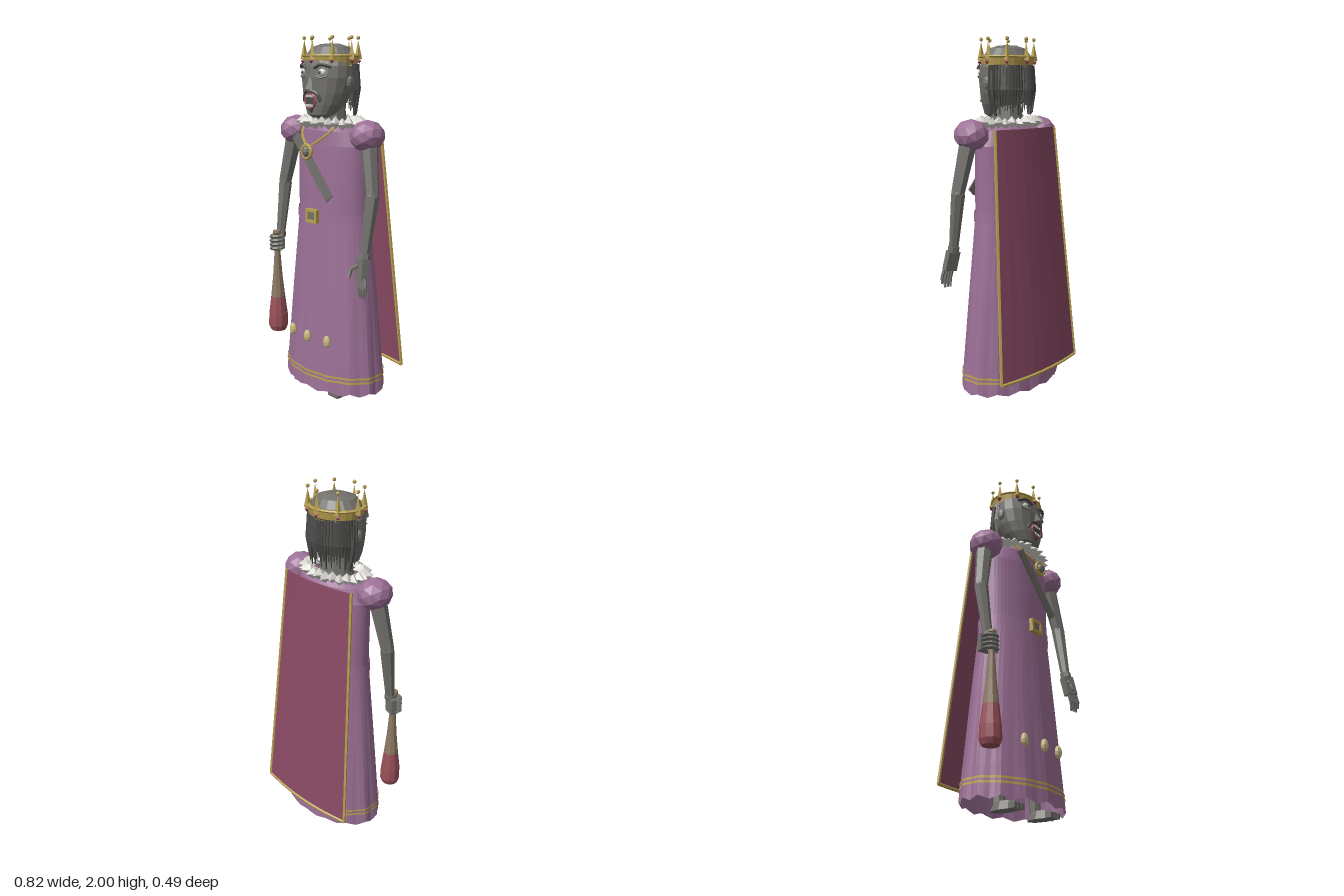
import * as THREE from 'three';

const mat = (name, color) => new THREE.MeshStandardMaterial({ name, color, flatShading: true, side: THREE.DoubleSide });

export function createModel() {
  const root = new THREE.Group();
  const robeMat = mat('mauve', 0x9c7096), capeMat = mat('burgundy', 0x8a4a64), gold = mat('gold', 0xb8a050);
  const skin = mat('stoneGrey', 0x72716c), hairMat = mat('darkGrey', 0x4c4b49), white = mat('offWhite', 0xd2d0ca);
  const wood = mat('wood', 0x8c7862), red = mat('dullRed', 0x985058), pale = mat('paleGold', 0xc8b880), gem = mat('ruby', 0x983c5c);
  const V = (x, y, z) => new THREE.Vector3(x, y, z);

  function add(name, geo, m, x = 0, y = 0, z = 0, parent = root) {
    const mesh = new THREE.Mesh(geo, m);
    mesh.name = name;
    mesh.position.set(x, y, z);
    parent.add(mesh);
    return mesh;
  }
  // tapered rod from a to b
  function rod(name, a, b, ra, rb, m, sides = 7, parent = root) {
    const d = b.clone().sub(a);
    const mesh = add(name, new THREE.CylinderGeometry(rb, ra, d.length(), sides), m, 0, 0, 0, parent);
    mesh.position.copy(a).addScaledVector(d, 0.5);
    mesh.quaternion.setFromUnitVectors(V(0, 1, 0), d.normalize());
    return mesh;
  }
  const tube = (name, pts, r, m, parent = root, n = 10) =>
    add(name, new THREE.TubeGeometry(new THREE.CatmullRomCurve3(pts), n, r, 5), m, 0, 0, 0, parent);

  // skin of elliptical rings [y, rx, rz, cz], listed from bottom to top
  function loft(rings, n, pleat = () => 0, wave = () => 0, closed = false) {
    const pos = [], idx = [];
    rings.forEach(([y, rx, rz, cz], i) => {
      for (let j = 0; j < n; j++) {
        const a = j / n * Math.PI * 2, k = 1 + pleat(a, y);
        pos.push(rx * k * Math.sin(a), y + (i === 0 ? wave(a) : 0), cz + rz * k * Math.cos(a));
        if (i < rings.length - 1) {
          const p = i * n + j, q = i * n + (j + 1) % n;
          idx.push(p, q, q + n, p, q + n, p + n);
        }
      }
    });
    if (closed) {
      const c = pos.length / 3, top = (rings.length - 1) * n;
      const [lo, hi] = [rings[0], rings[rings.length - 1]];
      pos.push(0, lo[0], lo[3], 0, hi[0], hi[3]);
      for (let j = 0; j < n; j++) {
        const k = (j + 1) % n;
        idx.push(c, k, j, c + 1, top + j, top + k);
      }
    }
    const g = new THREE.BufferGeometry();
    g.setAttribute('position', new THREE.Float32BufferAttribute(pos, 3));
    g.setIndex(idx);
    g.computeVertexNormals();
    return g;
  }

  // pleated robe, open at the hem
  const robe = [[0.04, 0.342, 0.215, 0.015], [0.2, 0.328, 0.205, 0.015], [0.6, 0.292, 0.178, 0.015], [1.03, 0.247, 0.147, 0.016],
    [1.22, 0.247, 0.143, 0.018], [1.42, 0.25, 0.135, 0.02], [1.5, 0.22, 0.125, 0.025], [1.54, 0.12, 0.1, 0.03]];
  const pleat = (a, y) => 0.018 * Math.max(0, 1 - y) * Math.cos(14 * a);
  add('robe', loft(robe, 56, pleat, a => 0.01 * Math.cos(14 * a)), robeMat);
  function robeBand(name, y0, y1, grow, m) {
    const at = y => {
      const i = robe.findIndex(r => r[0] > y), a = robe[i - 1], b = robe[i], t = (y - a[0]) / (b[0] - a[0]);
      const r = a.map((v, k) => v + (b[k] - v) * t);
      return [y, r[1] + grow, r[2] + grow, r[3]];
    };
    add(name, loft([at(y0), at(y1)], 56, pleat), m);
  }
  robeBand('lowerHemStripe', 0.108, 0.12, 0.005, gold);
  robeBand('upperHemStripe', 0.132, 0.144, 0.005, gold);
  robeBand('belt', 1.0, 1.055, 0.006, robeMat);

  // belt buckle
  for (const s of [-1, 1]) {
    add('buckleSide', new THREE.BoxGeometry(0.016, 0.075, 0.024), gold, -0.005 + s * 0.036, 1.03, 0.178);
    add('buckleBar', new THREE.BoxGeometry(0.088, 0.016, 0.024), gold, -0.005, 1.03 + s * 0.03, 0.178);
  }
  add('bucklePlate', new THREE.BoxGeometry(0.06, 0.046, 0.014), skin, -0.005, 1.03, 0.176);

  // medallions near the hem
  for (const [x, z] of [[-0.15, 0.205], [-0.005, 0.222], [0.14, 0.205]])
    add('hemMedallion', new THREE.SphereGeometry(1, 8, 6), pale, x, 0.34, z).scale.set(0.025, 0.036, 0.017);

  // sash across the chest
  const sash = add('sash', new THREE.BoxGeometry(0.058, 0.43, 0.009), skin, 0.002, 1.305, 0.182);
  sash.rotation.set(-0.03, 0, 0.72);

  // pendant and its cord
  for (const s of [-1, 1])
    tube('pendantCord', [V(s * 0.13, 1.53, 0.12), V(s * 0.09, 1.475, 0.17), V(s * 0.025, 1.425, 0.205)], 0.007, gold);
  add('pendantRing', new THREE.TorusGeometry(0.036, 0.01, 6, 14), gold, -0.005, 1.39, 0.215);
  add('pendantStone', new THREE.SphereGeometry(1, 8, 6), skin, -0.005, 1.39, 0.217).scale.set(0.028, 0.03, 0.022);

  // cape with gold trim
  const capeAt = (u, t) => V(u * (0.25 + 0.08 * t), 1.51 - 1.365 * t,
    -0.125 - 0.115 * t + (0.03 + 0.002 * t) * u * u);
  const cape = new THREE.PlaneGeometry(2, 1, 8, 1), cp = cape.attributes.position;
  for (let i = 0; i < cp.count; i++) {
    const p = capeAt(cp.getX(i), 0.5 - cp.getY(i));
    cp.setXYZ(i, p.x, p.y, p.z);
  }
  cape.computeVertexNormals();
  add('cape', cape, capeMat);
  for (const s of [-1, 1]) rod('capeSideTrim', capeAt(s, 0), capeAt(s, 1), 0.009, 0.009, gold, 5);
  tube('capeBottomTrim', [-1, -0.5, 0, 0.5, 1].map(u => capeAt(u, 1)), 0.009, gold);

  // neck and faceted ruff
  add('neck', new THREE.CylinderGeometry(0.08, 0.1, 0.14, 10), skin, 0, 1.565, 0.045);
  for (let i = 0; i < 26; i++) {
    const a = i / 26 * Math.PI * 2;
    const fold = add('ruffFold', new THREE.OctahedronGeometry(1, 0), white,
      0.188 * Math.sin(a), 1.542 + (i % 2 ? 0.004 : -0.004), 0.035 + 0.118 * Math.cos(a));
    fold.scale.set(0.032, 0.034, 0.048);
    fold.rotation.y = a;
  }

  // head
  add('head', loft([[1.568, 0.05, 0.045, 0.11], [1.585, 0.082, 0.072, 0.11], [1.64, 0.118, 0.105, 0.083], [1.7, 0.143, 0.125, 0.065],
    [1.78, 0.16, 0.14, 0.053], [1.84, 0.16, 0.138, 0.048], [1.9, 0.142, 0.125, 0.042], [1.94, 0.11, 0.098, 0.04],
    [1.957, 0.055, 0.05, 0.04]], 18, undefined, undefined, true), skin);
  const nose = add('nose', new THREE.ConeGeometry(0.026, 0.1, 4), skin, 0, 1.765, 0.19);
  nose.rotation.x = -0.2;
  for (const s of [-1, 1]) {
    add('eye', new THREE.SphereGeometry(1, 10, 8), white, s * 0.07, 1.808, 0.167).scale.set(0.027, 0.02, 0.018);
    add('pupil', new THREE.SphereGeometry(0.009, 6, 5), hairMat, s * 0.068, 1.808, 0.181);
    tube('eyeBag', [V(s * 0.04, 1.79, 0.185), V(s * 0.07, 1.78, 0.182), V(s * 0.105, 1.79, 0.162)], 0.005, skin);
    tube('eyebrow', [V(s * 0.03, 1.83, 0.187), V(s * 0.075, 1.848, 0.18), V(s * 0.12, 1.835, 0.148)], 0.009, hairMat);
    tube('moustache', [V(s * 0.006, 1.712, 0.196), V(s * 0.045, 1.7, 0.187), V(s * 0.068, 1.655, 0.174)], 0.009, hairMat);
    add('ear', new THREE.SphereGeometry(1, 7, 6), skin, s * 0.16, 1.755, 0.05).scale.set(0.016, 0.036, 0.024);
    tube('sideLock', [V(s * 0.165, 1.82, 0.005), V(s * 0.168, 1.7, 0.0), V(s * 0.142, 1.58, 0.0)], 0.009, hairMat);
  }
  // open mouth with teeth and chin tuft
  add('mouth', new THREE.CylinderGeometry(0.036, 0.036, 0.012, 10), hairMat, 0, 1.66, 0.188).rotation.x = Math.PI / 2;
  add('lips', new THREE.TorusGeometry(0.04, 0.008, 5, 12), red, 0, 1.66, 0.19);
  for (let i = -2; i <= 2; i++)
    for (const s of [-1, 1])
      add('tooth', new THREE.BoxGeometry(0.01, 0.013, 0.008), white, i * 0.012, 1.66 + s * 0.025, 0.195);
  add('chinTuft', new THREE.ConeGeometry(0.02, 0.03, 5), hairMat, 0, 1.6, 0.178).rotation.x = Math.PI;

  // hanging hair around the back of the head
  for (let i = 0; i < 30; i++) {
    const a = (98 + i * 164 / 29) * Math.PI / 180, end = 1.585 + 0.03 * (1 + Math.sin(i * 2.7)) * (i % 3 ? 0.7 : 1.3);
    const at = (y, k) => V(0.158 * k * Math.sin(a), y, 0.045 + 0.137 * k * Math.cos(a));
    rod('hairStrand', at(1.85, 1), at(1.72, 1.06), 0.01, 0.011, hairMat, 4);
    rod('hairTip', at(1.72, 1.06), at(end, 0.98), 0.011, 0.003, hairMat, 4);
  }

  // crown: band, spikes, balls and stones
  add('crownBand', loft([[1.835, 0.152, 0.13, 0.04], [1.9, 0.165, 0.142, 0.038], [1.9, 0.148, 0.127, 0.038],
    [1.84, 0.146, 0.125, 0.04]], 24), gold);
  for (const y of [1.842, 1.895]) {
    const k = y > 1.87 ? 1.07 : 1;
    const rim = add('crownRim', new THREE.TorusGeometry(1, 0.045, 5, 24), gold, 0, y, 0.039);
    rim.rotation.x = Math.PI / 2;
    rim.scale.set(0.153 * k, 0.132 * k, 0.15);
  }
  for (let i = 0; i < 8; i++) {
    const a = i * Math.PI / 4, x = Math.sin(a), z = Math.cos(a);
    add('crownSpike', new THREE.ConeGeometry(0.021, 0.1, 4), gold, 0.158 * x, 1.927, 0.038 + 0.134 * z).rotation.y = a;
    add('crownBall', new THREE.SphereGeometry(0.0105, 7, 6), gold, 0.158 * x, 1.989, 0.038 + 0.134 * z);
    add('crownStone', new THREE.OctahedronGeometry(0.015, 0), gem, 0.164 * x, 1.868, 0.04 + 0.142 * z);
  }

  // arms, puffed shoulders, feet
  for (const s of [-1, 1]) {
    const side = s > 0 ? 'left' : 'right';
    add(side + 'ShoulderPuff', new THREE.IcosahedronGeometry(1, 1), robeMat, s * 0.285, 1.482, 0.045).scale.set(0.093, 0.085, 0.1);
    const elbow = V(s * 0.358, 1.17, 0.078), wrist = V(s * 0.352, 0.86, 0.125);
    rod(side + 'UpperArm', V(s * 0.305, 1.43, 0.05), elbow, 0.048, 0.037, skin);
    add(side + 'Elbow', new THREE.IcosahedronGeometry(0.037, 1), skin, elbow.x, elbow.y, elbow.z);
    rod(side + 'Forearm', elbow, wrist, 0.039, 0.026, skin);
    rod(side + 'Cuff', V(s * 0.352, 0.875, 0.122), V(s * 0.352, 0.845, 0.128), 0.032, 0.032, skin);

    rod(side + 'Leg', V(s * 0.15, 0.04, 0.04), V(s * 0.13, 0.4, 0.03), 0.03, 0.04, skin);
    const foot = add(side + 'Foot', new THREE.CylinderGeometry(0.035, 0.048, 0.045, 8), skin, s * 0.15, 0.0235, 0.075);
    foot.scale.z = 1.8;
    for (let i = -1; i <= 1; i++)
      add(side + 'Toe', new THREE.BoxGeometry(0.023, 0.028, 0.04), skin, s * 0.15 + i * 0.027, 0.015, 0.15);
  }

  // open left hand
  const palm = add('leftPalm', new THREE.BoxGeometry(0.07, 0.11, 0.04), skin, 0.35, 0.79, 0.145);
  palm.rotation.set(-0.15, -0.25, 0.12);
  for (let i = 0; i < 4; i++) {
    const x = 0.333 + i * 0.018, z = 0.153 + i * 0.003, drop = i === 3 ? 0.025 : 0;
    rod('leftFinger', V(x, 0.75, z), V(x + 0.013, 0.69 + drop / 2, z + 0.008), 0.011, 0.01, skin, 5);
    rod('leftFingertip', V(x + 0.013, 0.69 + drop / 2, z + 0.008), V(x + 0.017, 0.64 + drop, z + 0.004), 0.01, 0.006, skin, 5);
  }
  rod('leftThumb', V(0.335, 0.81, 0.155), V(0.305, 0.785, 0.185), 0.014, 0.012, skin, 5);
  rod('leftThumbTip', V(0.305, 0.785, 0.185), V(0.308, 0.745, 0.2), 0.012, 0.008, skin, 5);

  // right hand gripping the club
  add('rightPalm', new THREE.BoxGeometry(0.065, 0.09, 0.035), skin, -0.368, 0.815, 0.118).rotation.y = -0.3;
  for (let i = 0; i < 4; i++) {
    const finger = add('rightFinger', new THREE.TorusGeometry(0.031, 0.011, 5, 9), skin, -0.358, 0.778 + i * 0.024, 0.15);
    finger.rotation.set(Math.PI / 2, 0.12, 0);
    finger.scale.x = 1.25;
  }
  rod('rightThumb', V(-0.33, 0.83, 0.13), V(-0.318, 0.77, 0.16), 0.012, 0.008, skin, 5);

  // club
  const lathe = pts => new THREE.LatheGeometry(pts.map(p => new THREE.Vector2(...p)), 10);
  add('clubHandle', lathe([[0.042, 0.48], [0.028, 0.61], [0.018, 0.75], [0.018, 0.86], [0.026, 0.87], [0.024, 0.885], [0, 0.89]]), wood, -0.352, 0, 0.152);
  add('clubHead', lathe([[0, 0.27], [0.046, 0.27], [0.058, 0.3], [0.056, 0.37], [0.042, 0.48]]), red, -0.352, 0, 0.152);

  return root;
}
